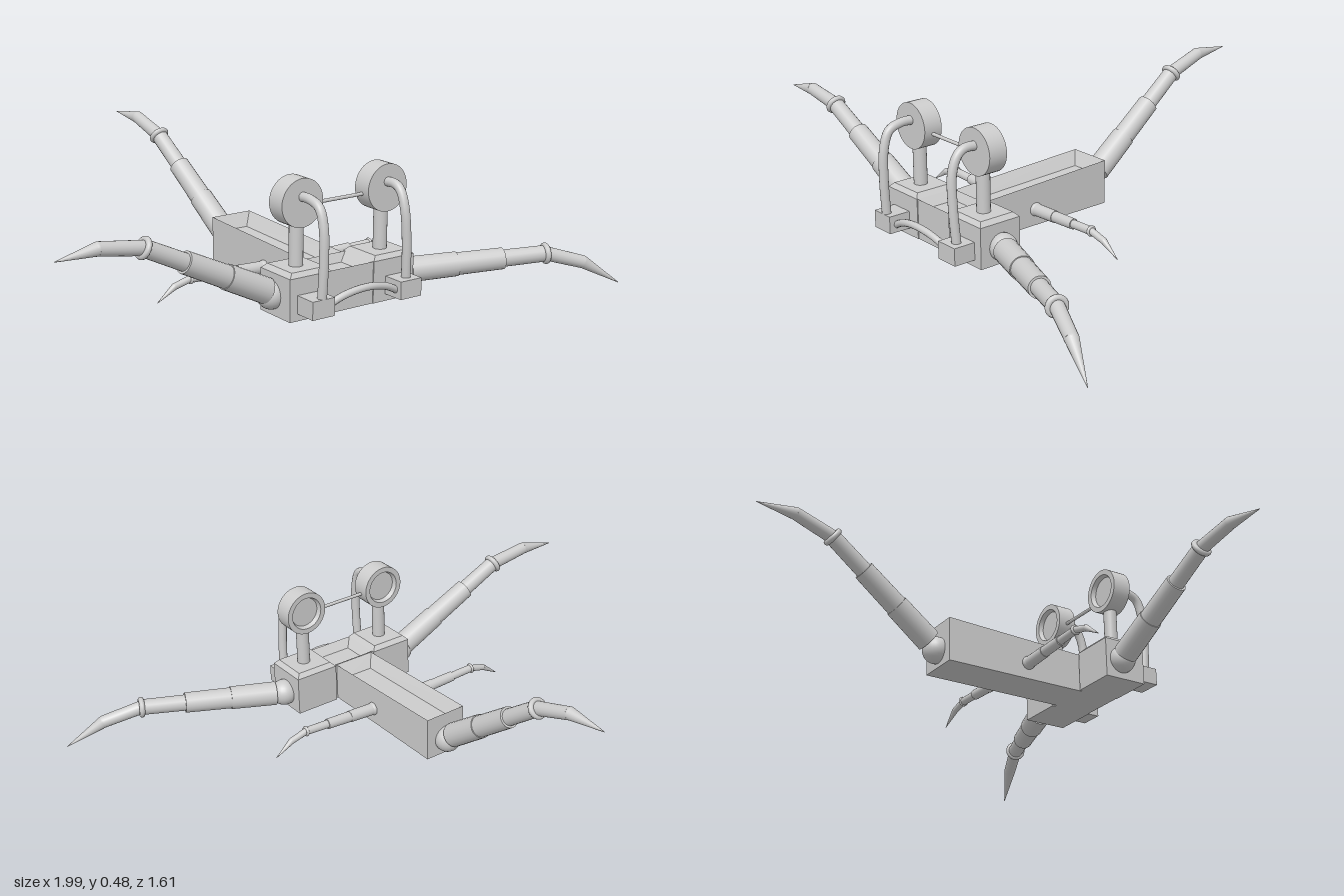
import * as THREE from 'three';

const grey = new THREE.MeshStandardMaterial({ color: 0xcccccc });
grey.name = 'plain grey';

const V = (x, y, z) => new THREE.Vector3(x, y, z);

function add(parent, name, geometry) {
  const mesh = new THREE.Mesh(geometry, grey);
  mesh.name = name;
  parent.add(mesh);
  return mesh;
}

// Flat-faced solid through rectangular rings [x0, x1, z0, z1, yBack, yFront]
function ringSolid(rings) {
  const loops = rings.map(([x0, x1, z0, z1, yb, yf = yb]) =>
    [V(x0, yf, z1), V(x1, yf, z1), V(x1, yb, z0), V(x0, yb, z0)]);
  const points = [];
  const quad = (a, b, c, d) => points.push(a, b, c, a, c, d);
  for (let k = 0; k + 1 < loops.length; k++) {
    for (let i = 0; i < 4; i++) {
      const j = (i + 1) % 4;
      quad(loops[k][i], loops[k][j], loops[k + 1][j], loops[k + 1][i]);
    }
  }
  const [a, b, c, d] = loops[0];
  quad(d, c, b, a);
  quad(...loops[loops.length - 1]);
  const g = new THREE.BufferGeometry().setFromPoints(points);
  g.computeVertexNormals();
  return g;
}

// Cylinder or cone between two points
function rod(parent, name, a, b, r0, r1) {
  const mesh = add(parent, name, new THREE.CylinderGeometry(r1, r0, a.distanceTo(b), 20));
  mesh.position.copy(a).lerp(b, 0.5);
  mesh.quaternion.setFromUnitVectors(V(0, 1, 0), b.clone().sub(a).normalize());
  return mesh;
}

// Ball joint, three stepped segments, a collar and a bent claw
function leg(parent, name, s, ball, start, wrist, bend, tip) {
  const g = new THREE.Group();
  g.name = name;
  parent.add(g);
  add(g, 'ballJoint', new THREE.SphereGeometry(0.047 * s, 24, 16)).position.copy(ball);
  const cuts = [0, 0.34, 0.68, 1];
  const radii = [0.043, 0.038, 0.029];
  radii.forEach((r, i) => rod(g, 'segment',
    start.clone().lerp(wrist, cuts[i]), start.clone().lerp(wrist, cuts[i + 1]), r * s, r * s * 0.96));
  const collar = add(g, 'collar', new THREE.TorusGeometry(0.027 * s, 0.01 * s, 10, 24));
  collar.position.copy(wrist);
  collar.quaternion.setFromUnitVectors(V(0, 0, 1), wrist.clone().sub(start).normalize());
  rod(g, 'clawBase', wrist, bend, 0.024 * s, 0.022 * s);
  add(g, 'clawKnuckle', new THREE.SphereGeometry(0.022 * s, 16, 12)).position.copy(bend);
  rod(g, 'clawTip', bend, tip, 0.022 * s, 0.001);
}

export function createModel() {
  const model = new THREE.Group();
  model.name = 'leggedMachine';

  // Long rear hull with a sloping rim and a sunken tray
  add(model, 'rearHull', ringSolid([
    [-0.075, 0.08, -0.095, 0.44, 0.04],
    [-0.075, 0.08, -0.095, 0.44, 0.197, 0.177],
    [-0.045, 0.05, -0.068, 0.405, 0.15, 0.135],
  ]));

  // Centre of the front crossbar, also sunken
  add(model, 'frontCentre', ringSolid([
    [-0.08, 0.09, 0.44, 0.585, 0.04],
    [-0.08, 0.09, 0.44, 0.585, 0.18],
    [-0.055, 0.062, 0.455, 0.56, 0.15],
  ]));

  // Side blocks of the crossbar, each with a lamp, post, pipe and foot block
  for (const [x0, x1, lampX, pipeX, pipeZ] of [
    [-0.24, -0.08, -0.163, -0.165, 0.66],
    [0.09, 0.255, 0.175, 0.188, 0.64],
  ]) {
    const side = new THREE.Group();
    side.name = lampX > 0 ? 'leftFront' : 'rightFront';
    model.add(side);
    add(side, 'sideBlock', ringSolid([
      [x0, x1, 0.43, 0.588, 0.04],
      [x0, x1, 0.43, 0.588, 0.18],
      [x0 + 0.015, x1 - 0.015, 0.445, 0.575, 0.195],
    ]));
    rod(side, 'post', V(lampX, 0.18, 0.512), V(lampX, 0.345, 0.512), 0.023, 0.023);

    // Drum: flat front, dished back
    const profile = [[0, -0.018], [0.054, -0.018], [0.054, -0.018], [0.06, -0.034], [0.06, -0.034],
      [0.079, -0.034], [0.079, -0.034], [0.079, 0.034], [0.079, 0.034], [0, 0.034]];
    const drum = add(side, 'drum', new THREE.LatheGeometry(
      profile.map(([r, y]) => new THREE.Vector2(r, y)), 40));
    drum.rotation.x = Math.PI / 2;
    drum.position.set(lampX, 0.402, 0.511);

    const path = new THREE.CatmullRomCurve3([
      V(lampX, 0.422, 0.535), V(lampX, 0.422, 0.585), V(lampX, 0.405, pipeZ - 0.03),
      V(lampX, 0.35, pipeZ - 0.008), V((lampX + pipeX) / 2, 0.24, pipeZ - 0.003), V(pipeX, 0.1, pipeZ - 0.01),
    ]);
    add(side, 'pipe', new THREE.TubeGeometry(path, 40, 0.0155, 14));

    const foot = add(side, 'footBlock', new THREE.BoxGeometry(0.085, 0.06, 0.085));
    foot.position.set(lampX + 0.006 * Math.sign(lampX + 0.1), 0.094, 0.624);
  }

  // Thin bar between drums and arched tube between foot blocks
  rod(model, 'crossRod', V(-0.1, 0.386, 0.511), V(0.11, 0.386, 0.511), 0.006, 0.006);
  const arch = new THREE.CatmullRomCurve3([
    V(-0.14, 0.085, 0.635), V(-0.075, 0.115, 0.646), V(0.01, 0.128, 0.652),
    V(0.09, 0.115, 0.646), V(0.155, 0.085, 0.635),
  ]);
  add(model, 'archTube', new THREE.TubeGeometry(arch, 32, 0.012, 12));

  // Large legs
  leg(model, 'leftLeg', 1, V(0.268, 0.1, 0.508), V(0.298, 0.1, 0.52),
    V(0.745, 0.123, 0.697), V(0.87, 0.085, 0.75), V(0.995, 0.003, 0.803));
  leg(model, 'rightLeg', 1, V(-0.245, 0.108, 0.493), V(-0.265, 0.125, 0.495),
    V(-0.7, 0.336, 0.489), V(-0.85, 0.358, 0.487), V(-0.99, 0.342, 0.485));
  leg(model, 'rearLeg', 1, V(0, 0.1, -0.105), V(-0.003, 0.128, -0.135),
    V(-0.03, 0.405, -0.52), V(-0.037, 0.45, -0.66), V(-0.045, 0.45, -0.805));

  // Small side legs
  for (const [name, m, off] of [['leftSmallLeg', 1, 0.006], ['rightSmallLeg', -1, -0.004]]) {
    leg(model, name, 0.5, V(m * 0.08, 0.097, 0.218), V(m * 0.09, 0.097, 0.218),
      V(m * 0.365, 0.108, 0.218 + off), V(m * 0.425, 0.092, 0.218 + off), V(m * 0.49, 0.048, 0.218 + off));
  }

  return model;
}
